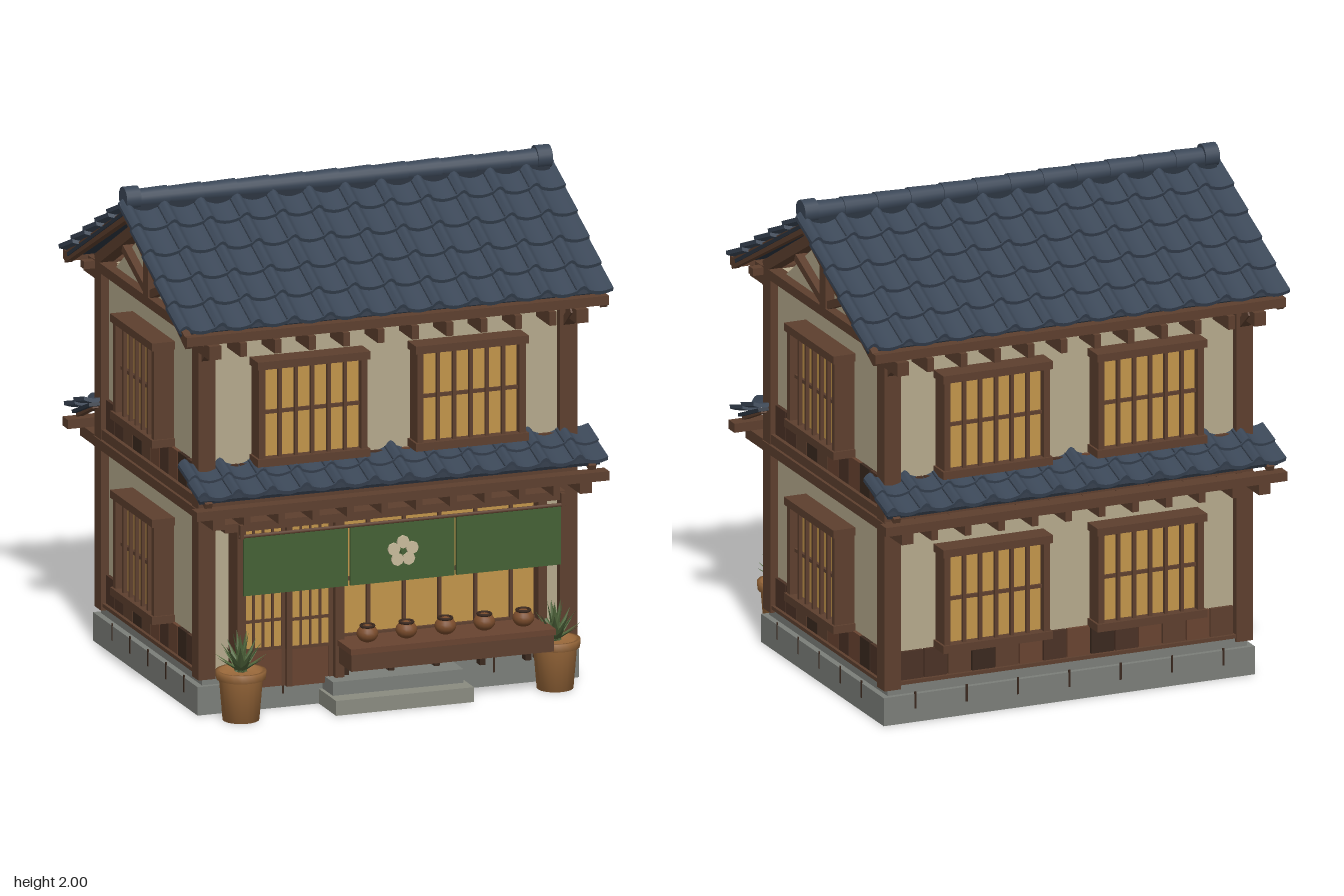
import * as THREE from 'three';

const mat = (color, o = {}) => new THREE.MeshStandardMaterial({ color, ...o });
const wood = mat(0x5d3f2e), darkWood = mat(0x3a281e), redWood = mat(0x684330), midWood = mat(0x4b3225);
const plaster = mat(0xb5a98c), paper = mat(0xc2954a), tile = mat(0x3b4757), tileDark = mat(0x2c3541);
const stone = mat(0x7b7e79), stoneLight = mat(0x8a8b80), cloth = mat(0x446034), cream = mat(0xc9bc9c);
const clay = mat(0x99683a), jarClay = mat(0x7a4c2c), leaf = mat(0x50663c, { side: THREE.DoubleSide, flatShading: true });

function add(parent, name, geo, m, x = 0, y = 0, z = 0) {
  const mesh = new THREE.Mesh(geo, m);
  mesh.name = name;
  mesh.position.set(x, y, z);
  parent.add(mesh);
  return mesh;
}
const box = (p, name, m, w, h, d, x, y, z) => add(p, name, new THREE.BoxGeometry(w, h, d), m, x, y, z);
// box given by its limits
const span = (p, name, m, x0, x1, y0, y1, z0, z1) =>
  box(p, name, m, x1 - x0, y1 - y0, z1 - z0, (x0 + x1) / 2, (y0 + y1) / 2, (z0 + z1) / 2);
// sloping timber in the y-z plane
function strut(p, name, m, x, w, t, y0, z0, y1, z1) {
  const b = box(p, name, m, w, t, Math.hypot(y1 - y0, z1 - z0), x, (y0 + y1) / 2, (z0 + z1) / 2);
  b.rotation.x = -Math.atan2(y1 - y0, z1 - z0);
  return b;
}
function group(parent, name, x = 0, y = 0, z = 0, ry = 0) {
  const g = new THREE.Group();
  g.name = name;
  g.position.set(x, y, z);
  g.rotation.y = ry;
  parent.add(g);
  return g;
}

// one course of wavy tiles: a box bent by a roll-and-pan profile
function tileCourse(width, cols, length) {
  const g = new THREE.BoxGeometry(width, 0.016, length, cols * 12, 1, 1);
  const p = g.attributes.position;
  for (let i = 0; i < p.count; i++) {
    const u = ((p.getX(i) / width + 0.5) * cols + 1e-4) % 1;
    const h = u < 0.33 ? 0.022 * Math.sin(Math.PI * u / 0.33) : -0.012 * Math.sin(Math.PI * (u - 0.33) / 0.67);
    p.setY(i, p.getY(i) + h);
  }
  g.computeVertexNormals();
  return g;
}
// tiled slope falling towards +z from (y0, z0) to (y1, z1)
function tiledSlope(parent, name, width, cols, rows, y0, z0, y1, z1) {
  const g = group(parent, name, 0, y0, z0);
  const len = Math.hypot(y1 - y0, z1 - z0), L = len / rows;
  g.rotation.x = Math.atan2(y0 - y1, z1 - z0);
  box(g, 'roofBoard', tileDark, width - 0.04, 0.014, len - 0.02, 0, -0.026, len / 2 - 0.01);
  const geo = tileCourse(width, cols, L * 1.1);
  for (let i = 0; i < rows; i++) {
    const c = add(g, 'tileCourse', geo, tile, 0, 0.006, (i + 0.47) * L);
    c.rotation.x = -0.1;
    for (let j = 1; j < cols; j++) // joints beside each roll
      box(c, 'tileJoint', tileDark, 0.006, 0.012, L, (j / cols - 0.5) * width, 0.004, 0);
  }
}

// projecting lattice window, back on the wall, facing local +z
function latticeWindow(parent, x, y, z, ry) {
  const g = group(parent, 'latticeWindow', x, y, z, ry);
  box(g, 'paperPane', paper, 0.42, 0.38, 0.05, 0, 0, 0.025);
  for (const s of [-1, 1]) {
    box(g, 'windowRail', wood, 0.47, 0.032, 0.095, 0, s * 0.197, 0.047);
    box(g, 'windowStile', wood, 0.026, 0.38, 0.085, s * 0.213, 0, 0.042);
  }
  for (let i = -2; i <= 2; i++) box(g, 'latticeBar', wood, 0.014, 0.38, 0.016, i * 0.068, 0, 0.07);
  box(g, 'latticeCrossbar', wood, 0.42, 0.014, 0.012, 0, 0, 0.058);
}

// row of weathered boards facing local +z
function boardRow(parent, width, y, z, ry) {
  const g = group(parent, 'wainscot', 0, 0, 0, ry);
  const n = Math.round(width / 0.105), w = width / n, shades = [midWood, wood, darkWood, redWood, wood, midWood, redWood];
  for (let i = 0; i < n; i++)
    box(g, 'wainscotBoard', shades[(i * 5 + (i >> 1)) % 7], w - 0.006, 0.12, 0.03, (i + 0.5) * w - width / 2, y, z);
}

function pottedPlant(parent, x, z) {
  const g = group(parent, 'pottedPlant', x, 0, z);
  const pts = [[0, 0], [0.072, 0], [0.086, 0.165], [0.098, 0.168], [0.1, 0.2], [0.086, 0.2], [0.08, 0.18], [0, 0.18]];
  add(g, 'pot', new THREE.LatheGeometry(pts.map(p => new THREE.Vector2(...p)), 20), clay);
  const blade = new THREE.ConeGeometry(0.02, 0.13, 4).translate(0, 0.065, 0).scale(1, 1, 0.35);
  [[9, 1.0, 0.95], [8, 0.6, 1.1], [5, 0.2, 1.25]].forEach(([n, tilt, size], r) => {
    for (let i = 0; i < n; i++) {
      const b = add(g, 'leaf', blade, leaf, 0, 0.195, 0);
      b.rotation.set(tilt, (i / n) * Math.PI * 2 + r * 0.4, 0, 'YXZ');
      b.scale.setScalar(size);
    }
  });
}

function shopFront(h) {
  const g = group(h, 'shopFront');
  // frame
  for (const x of [-0.635, -0.225, 0.62]) span(g, 'shopPost', wood, x - 0.018, x + 0.018, 0.1, 0.77, 0.54, 0.645);
  span(g, 'shopLintel', wood, -0.71, 0.71, 0.75, 0.785, 0.54, 0.66);
  // sliding doors
  [-0.525, -0.335].forEach((x, i) => {
    const d = group(g, 'slidingDoor', x, 0, 0.58 + i * 0.02);
    box(d, 'doorPaper', paper, 0.19, 0.5, 0.01, 0, 0.5, 0);
    box(d, 'doorPanel', redWood, 0.2, 0.15, 0.02, 0, 0.165, 0);
    for (const s of [-1, 1]) box(d, 'doorStile', wood, 0.024, 0.66, 0.024, s * 0.088, 0.42, 0.002);
    for (const k of [-0.04, 0, 0.04]) box(d, 'doorBar', wood, 0.009, 0.5, 0.016, k, 0.5, 0.004);
    for (const y of [0.245, 0.36, 0.5, 0.62]) box(d, 'doorCrossbar', wood, 0.18, 0.012, 0.014, 0, y, 0.004);
  });
  // display window
  span(g, 'displayPaper', paper, -0.21, 0.605, 0.26, 0.76, 0.56, 0.59);
  for (let i = 1; i < 6; i++) box(g, 'displayBar', wood, 0.013, 0.5, 0.02, -0.21 + i * 0.149 - 0.03, 0.51, 0.597);
  for (const y of [0.27, 0.5]) box(g, 'displayCrossbar', wood, 0.815, 0.014, 0.018, 0.198, y, 0.597);
  // display bench with jars
  span(g, 'benchTop', redWood, -0.235, 0.62, 0.245, 0.268, 0.56, 0.795);
  span(g, 'benchBody', wood, -0.23, 0.615, 0.175, 0.245, 0.56, 0.785);
  for (const x of [-0.19, 0, 0.19, 0.38, 0.57]) span(g, 'benchLeg', darkWood, x - 0.012, x + 0.012, 0.1, 0.18, 0.56, 0.62);
  const jar = new THREE.SphereGeometry(0.043, 16, 10).scale(1, 0.82, 1);
  for (let i = 0; i < 5; i++) {
    const x = -0.135 + i * 0.1625;
    add(g, 'jar', jar, jarClay, x, 0.303, 0.71);
    add(g, 'jarRim', new THREE.TorusGeometry(0.026, 0.006, 6, 16).rotateX(Math.PI / 2), darkWood, x, 0.334, 0.71);
  }
  // door curtain with a plain blossom
  const rod = add(g, 'curtainRod', new THREE.CylinderGeometry(0.008, 0.008, 1.36, 8).rotateZ(Math.PI / 2), wood, 0, 0.752, 0.735);
  for (const s of [-1, 1]) span(g, 'curtainBracket', wood, s * 0.67 - 0.008, s * 0.67 + 0.008, 0.745, 0.8, 0.725, 0.745);
  for (const x of [-0.445, 0, 0.443]) box(g, 'curtainPanel', cloth, 0.434, 0.24, 0.012, x, 0.632, 0.735);
  const petal = new THREE.CylinderGeometry(0.026, 0.026, 0.012, 8).rotateX(Math.PI / 2);
  for (let i = 0; i < 5; i++) {
    const a = Math.PI / 2 + i * Math.PI * 0.4;
    add(g, 'petal', petal, cream, Math.cos(a) * 0.04, 0.632 + Math.sin(a) * 0.038, 0.745);
  }
  add(g, 'blossomCentre', new THREE.CylinderGeometry(0.011, 0.011, 0.014, 8).rotateX(Math.PI / 2), cloth, 0, 0.632, 0.747);
  // steps
  span(g, 'lowerStep', stoneLight, -0.29, 0.285, 0, 0.06, 0.55, 0.775);
  span(g, 'upperStep', stone, -0.275, 0.27, 0.06, 0.115, 0.55, 0.7);
}

export function createModel() {
  const model = new THREE.Group();
  model.name = 'townhouse';
  const h = group(model, 'house', 0, 0, -0.038);
  const HALF = Math.PI / 2;

  // foundation and walls
  span(h, 'foundation', stone, -0.795, 0.795, 0, 0.115, -0.582, 0.582);
  span(h, 'foundationCurb', stone, -0.77, 0.77, 0.115, 0.155, -0.562, 0.562);
  for (const s of [-1, 1]) {
    for (let i = -2; i <= 2; i++) box(h, 'stoneJoint', darkWood, 0.004, 0.07, 0.008, s * 0.795, 0.09, i * 0.2 + 0.03);
    for (let i = -3; i <= 3; i++) box(h, 'stoneJoint', darkWood, 0.008, 0.07, 0.004, i * 0.22, 0.09, s * 0.582);
  }
  span(h, 'walls', plaster, -0.757, 0.757, 0.12, 1.54, -0.545, 0.545);

  // corner posts and horizontal beams
  for (const sx of [-1, 1]) for (const sz of [-1, 1])
    box(h, 'cornerPost', wood, 0.072, 1.4, 0.072, sx * 0.754, 0.84, sz * 0.541);
  const ring = (y0, y1, o) => {
    for (const s of [-1, 1]) {
      box(h, 'sideBeam', wood, 0.05, y1 - y0, 1.15, s * (0.745 + o), (y0 + y1) / 2, 0);
      box(h, 'longBeam', wood, 1.54, y1 - y0, 0.05, 0, (y0 + y1) / 2, s * (0.533 + o));
    }
  };
  ring(0.155, 0.17, 0.015);
  ring(0.793, 0.832, 0.025);
  ring(0.836, 0.875, 0.018);
  ring(1.51, 1.55, 0.025);

  // gable ends
  const tri = new THREE.Shape([[-0.46, 1.53], [0.46, 1.53], [0, 1.86]].map(p => new THREE.Vector2(...p)));
  for (const s of [-1, 1]) {
    const g = group(h, 'gable');
    const wall = add(g, 'gableWall', new THREE.ExtrudeGeometry(tri, { depth: 0.04, bevelEnabled: false }), plaster, s * 0.735 - 0.02);
    wall.rotation.y = HALF;
    box(g, 'kingPost', wood, 0.06, 0.34, 0.055, s * 0.765, 1.71, 0);
    box(g, 'tieBeam', wood, 0.06, 0.035, 1.28, s * 0.765, 1.53, 0);
    for (const z of [-1, 1]) {
      strut(g, 'gableRafter', wood, s * 0.765, 0.06, 0.045, 1.86, 0, 1.55, z * 0.56);
      strut(g, 'gableStrut', wood, s * 0.765, 0.045, 0.032, 1.56, z * 0.02, 1.67, z * 0.28);
      strut(g, 'bargeBoard', wood, s * 0.865, 0.03, 0.04, 1.885, 0, 1.535, z * 0.68);
      strut(g, 'eaveBrace', wood, s * 0.755, 0.045, 0.03, 1.43, z * 0.55, 1.515, z * 0.65);
      boardRow(g, 1.0, z > 0 ? 0.935 : 0.225, 0.757, s * HALF);
    }
    for (const y of [0.495, 1.21]) latticeWindow(g, s * 0.76, y, 0, s * HALF);
  }

  // front and back, mirrored
  for (const ry of [0, Math.PI]) {
    const g = group(h, ry ? 'backSide' : 'frontSide', 0, 0, 0, ry);
    boardRow(g, 1.43, 0.935, 0.545, 0);
    for (const x of [-0.33, 0.33]) {
      latticeWindow(g, x, 1.21, 0.545, 0);
      if (ry) latticeWindow(g, x, 0.495, 0.545, 0);
    }
    if (ry) boardRow(g, 1.43, 0.225, 0.545, 0);
    // main roof
    tiledSlope(g, 'mainRoof', 1.81, 12, 5, 1.925, 0, 1.575, 0.662);
    span(g, 'eaveFascia', wood, -0.88, 0.88, 1.53, 1.567, 0.645, 0.69);
    span(g, 'eavePurlin', wood, -0.84, 0.84, 1.515, 1.545, 0.56, 0.6);
    // canopy roof
    tiledSlope(g, 'canopyRoof', 1.71, 12, 2, 1.0, 0.53, 0.915, 0.74);
    span(g, 'canopyFascia', wood, -0.86, 0.86, 0.835, 0.872, 0.69, 0.748);
    for (let i = 0; i < 10; i++) {
      const x = -0.645 + i * 0.1433;
      span(g, 'eaveJoist', wood, x - 0.014, x + 0.014, 1.47, 1.525, 0.54, 0.695);
      span(g, 'canopyJoist', wood, x - 0.014, x + 0.014, 0.79, 0.835, 0.54, 0.735);
    }
    for (const s of [-1, 1]) {
      span(g, 'canopyEndJoist', wood, s * 0.765 - 0.025, s * 0.765 + 0.025, 0.79, 0.835, 0.54, 0.742);
      span(g, 'eaveEndJoist', wood, s * 0.765 - 0.025, s * 0.765 + 0.025, 1.47, 1.525, 0.54, 0.7);
      strut(g, 'canopyRafter', wood, s * 0.8, 0.03, 0.022, 0.965, 0.54, 0.885, 0.72);
    }
  }

  // ridge
  box(h, 'ridgeBase', tileDark, 1.76, 0.05, 0.07, 0, 1.915, 0);
  const cap = new THREE.CylinderGeometry(0.037, 0.042, 0.15, 16).rotateZ(HALF);
  for (let i = 0; i < 12; i++) add(h, 'ridgeTile', cap, tile, (i - 5.5) * 0.142, 1.948, 0);
  for (const s of [-1, 1])
    add(h, 'ridgeEnd', new THREE.CylinderGeometry(0.047, 0.047, 0.06, 16).rotateZ(HALF), tile, s * 0.858, 1.953, 0);

  shopFront(h);
  for (const s of [-1, 1]) pottedPlant(h, s * 0.655, 0.69);
  return model;
}
